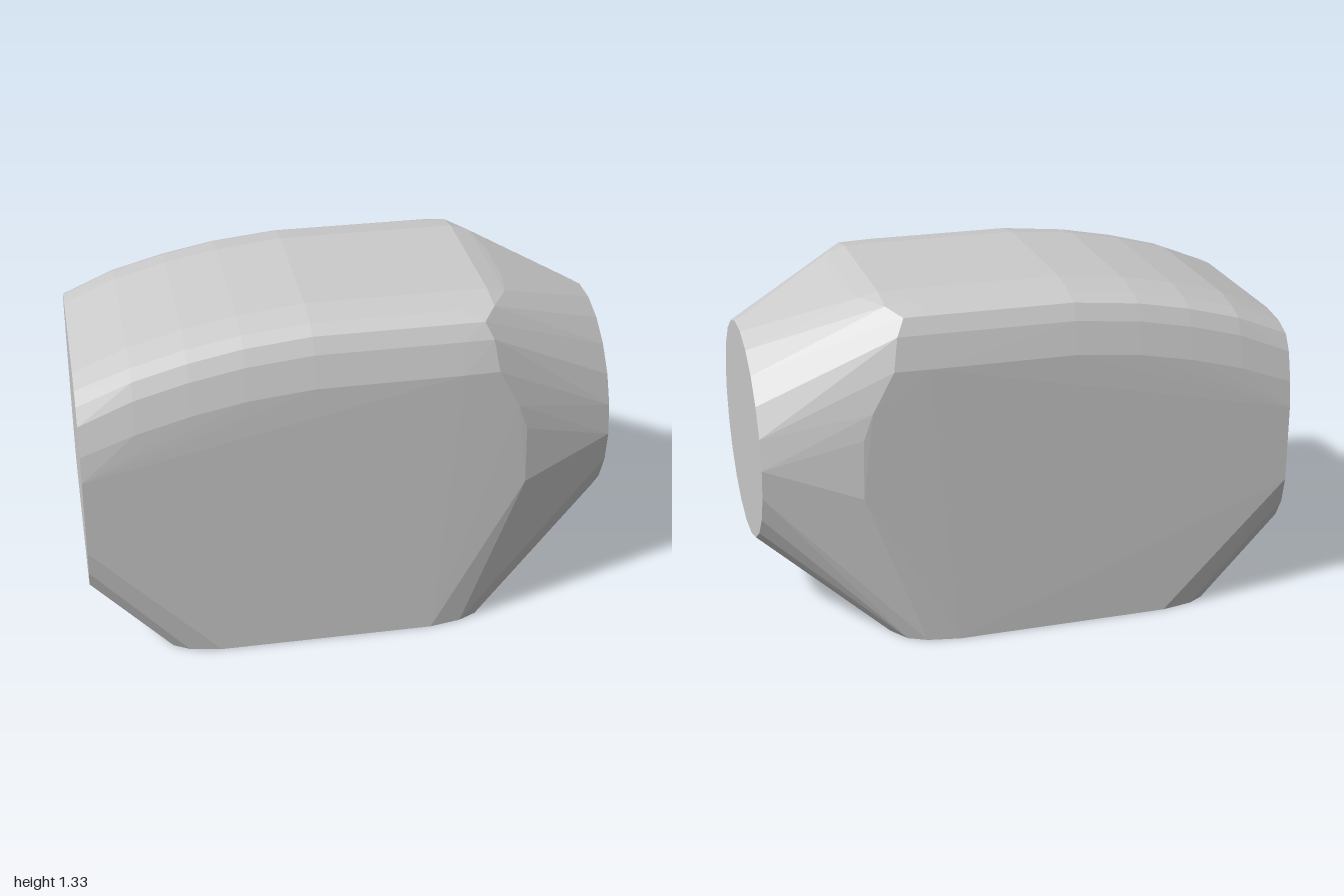
import * as THREE from 'three';
import { ConvexGeometry } from 'three/addons/geometries/ConvexGeometry.js';

export function createModel() {
  const group = new THREE.Group();
  const points = [];
  // adds a point and its mirror across the z = 0 plane
  const pair = (x, y, z) => points.push(new THREE.Vector3(x, y, z), new THREE.Vector3(x, y, -z));

  // round end: 22-sided disc facing +x
  for (let i = 0; i < 11; i++) {
    const a = ((i + 0.5) / 11) * Math.PI;
    pair(1, 0.73 + 0.415 * Math.cos(a), 0.415 * Math.sin(a));
  }

  // square end: rounded rectangle facing -x, as [y, z]
  [[1.115, 0.29], [1.1, 0.4], [1.07, 0.47], [1.01, 0.505], [0.9, 0.533], [0.8, 0.545],
    [0.5, 0.545], [0.4, 0.525], [0.32, 0.48], [0.29, 0.4]].forEach(([y, z]) => pair(-1, y, z));

  // flat base with rounded corners, as [x, z]
  [[-0.73, 0.4], [-0.7, 0.48], [-0.64, 0.515], [-0.52, 0.537], [0.3, 0.533],
    [0.42, 0.51], [0.49, 0.475], [0.54, 0.4], [0.57, 0.29]].forEach(([x, z]) => pair(x, 0, z));

  // arched top and its rounded shoulders, as [x, crown height]
  [[-0.8, 1.2], [-0.6, 1.255], [-0.4, 1.295], [-0.15, 1.322], [0.4, 1.325]].forEach(([x, top]) => {
    const w = 0.004 * (0.4 - x);
    [[0, 0.29], [0.02, 0.41], [0.045, 0.47], [0.105, 0.5], [0.225, 0.53]]
      .forEach(([drop, z]) => pair(x, top - drop, z + w));
  });

  // rim where the body starts tapering to the round end
  [[0.53, 1.325, 0.29], [0.63, 1.295, 0.12], [0.6, 1.305, 0.28], [0.53, 1.305, 0.4],
    [0.48, 1.28, 0.47], [0.51, 1.22, 0.498], [0.53, 1.1, 0.525], [0.61, 0.95, 0.523],
    [0.645, 0.85, 0.52], [0.65, 0.62, 0.52]].forEach((p) => pair(...p));

  const body = new THREE.Mesh(
    new ConvexGeometry(points),
    new THREE.MeshStandardMaterial({ color: 0xcccccc, flatShading: true })
  );
  body.name = 'body';
  group.add(body);
  return group;
}
